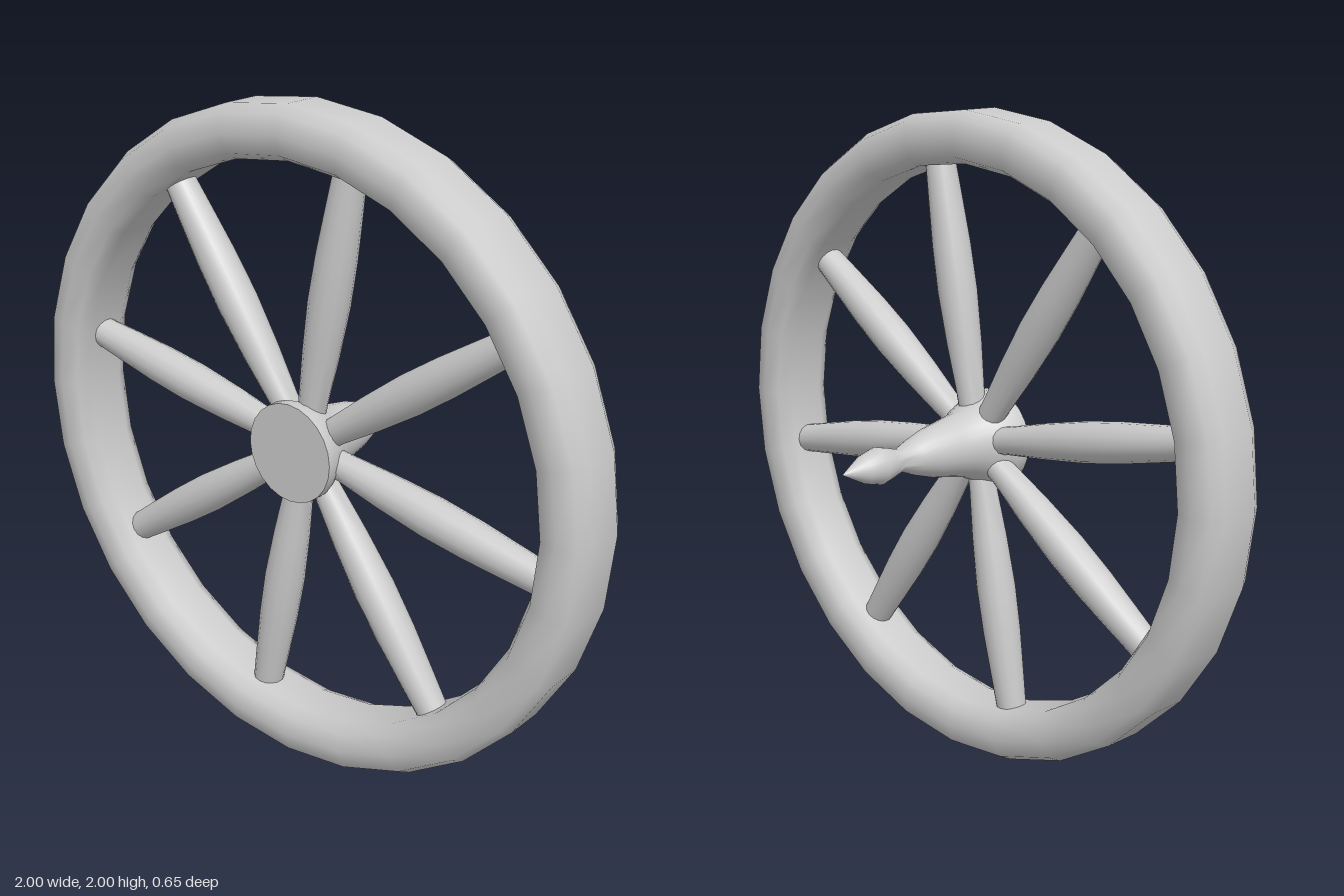
import * as THREE from 'three';
import { mergeVertices, toCreasedNormals } from 'three/addons/utils/BufferGeometryUtils.js';

const material = new THREE.MeshStandardMaterial({ color: 0xcccccc });
const RIM_Z = 0.21;

// Turn a [radius, height] profile around an axis
function turned(profile, sides) {
  return new THREE.LatheGeometry(profile.map(([r, h]) => new THREE.Vector2(r, h)), sides);
}

function part(name, geometry) {
  const mesh = new THREE.Mesh(geometry, material);
  mesh.name = name;
  return mesh;
}

export function createModel() {
  const model = new THREE.Group();
  model.name = 'spokedWheel';

  // Rim: closed rounded section swept round the wheel axis, seam welded smooth
  const section = [
    [-0.077, -0.06], [-0.055, -0.1], [0, -0.115], [0.055, -0.1], [0.077, -0.06],
    [0.077, 0.06], [0.055, 0.1], [0, 0.115], [-0.055, 0.1], [-0.077, 0.06], [-0.077, -0.06],
  ];
  let rimGeometry = turned(section.map(([r, z]) => [0.921 + r, z]), 28);
  rimGeometry.deleteAttribute('normal');
  rimGeometry.deleteAttribute('uv');
  rimGeometry = mergeVertices(rimGeometry);
  rimGeometry.computeVertexNormals();
  rimGeometry.rotateX(Math.PI / 2);
  const rim = part('rim', rimGeometry);
  rim.position.set(0, 1, RIM_Z);
  model.add(rim);

  // Hub with its turned axle and pointed finial, from rear tip to front disc
  const hubGeometry = turned([
    [0, -0.325], [0.042, -0.245], [0.056, -0.19], [0.046, -0.15], [0.034, -0.11],
    [0.055, -0.055], [0.075, 0.01], [0.088, 0.08], [0.1, 0.14],
    [0.125, 0.19], [0.15, 0.25], [0.15, 0.285], [0, 0.285],
  ], 24).rotateX(Math.PI / 2);
  const hub = part('hubAndAxle', toCreasedNormals(hubGeometry, Math.PI / 3));
  hub.position.y = 1;
  model.add(hub);

  // Eight turned spokes, swelling at mid length
  const spokeGeometry = turned([
    [0, 0.04], [0.04, 0.04], [0.043, 0.15], [0.054, 0.3], [0.061, 0.46],
    [0.059, 0.6], [0.052, 0.74], [0.045, 0.87], [0, 0.87],
  ], 14);
  const creasedSpoke = toCreasedNormals(spokeGeometry, Math.PI / 3);
  for (let i = 0; i < 8; i++) {
    const spoke = part('spoke' + (i + 1), creasedSpoke);
    spoke.position.set(0, 1, RIM_Z);
    spoke.rotation.z = THREE.MathUtils.degToRad(-11.3 + i * 45);
    model.add(spoke);
  }
  return model;
}
